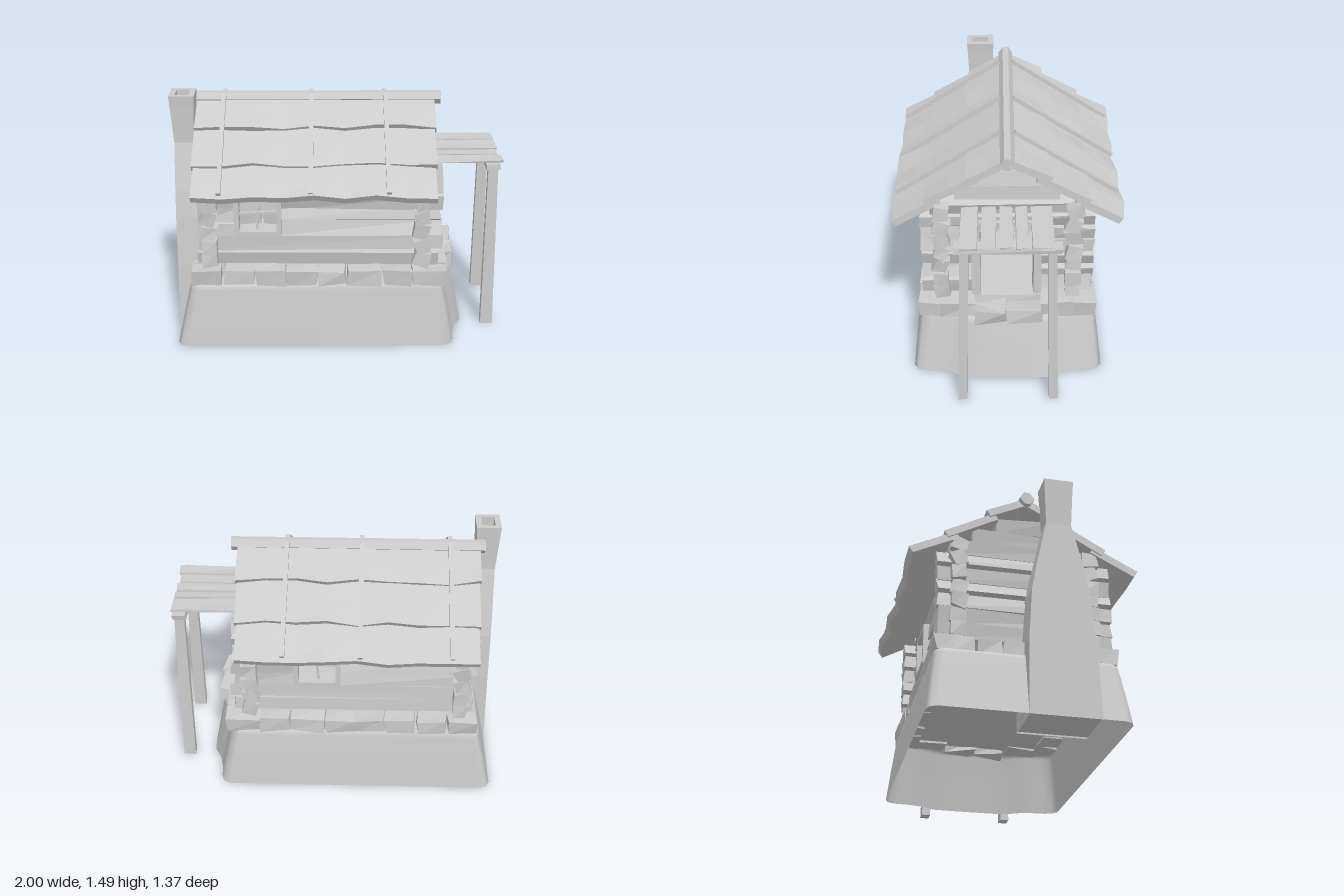
import * as THREE from 'three';

const flat = new THREE.MeshStandardMaterial({ color: 0xcccccc, flatShading: true, side: THREE.DoubleSide });
const smooth = new THREE.MeshStandardMaterial({ color: 0xcccccc, side: THREE.DoubleSide });

// Repeatable pseudo-random value in -1..1
const hash = (n) => {
  const s = Math.sin(n * 127.1 + 11.7) * 43758.5453;
  return (s - Math.floor(s)) * 2 - 1;
};

// Shift corners by a rule so that shared corners stay together
function roughen(geo, amount, seed) {
  const p = geo.attributes.position;
  for (let i = 0; i < p.count; i++) {
    const k = seed + p.getX(i) * 3.1 + p.getY(i) * 17.3 + p.getZ(i) * 7.7;
    p.setXYZ(i, p.getX(i) + hash(k) * amount, p.getY(i) + hash(k + 1.3) * amount, p.getZ(i) + hash(k + 2.6) * amount);
  }
  geo.computeVertexNormals();
  return geo;
}

function add(parent, name, geo, x = 0, y = 0, z = 0, mat = flat) {
  const m = new THREE.Mesh(geo, mat);
  m.name = name;
  m.position.set(x, y, z);
  parent.add(m);
  return m;
}

// Box given by its limits on each axis
function block(parent, name, x0, x1, y0, y1, z0, z1, rough = 0, seed = 1) {
  const g = new THREE.BoxGeometry(x1 - x0, y1 - y0, z1 - z0);
  return add(parent, name, rough ? roughen(g, rough, seed) : g, (x0 + x1) / 2, (y0 + y1) / 2, (z0 + z1) / 2);
}

function group(parent, name) {
  const g = new THREE.Group();
  g.name = name;
  parent.add(g);
  return g;
}

// Skin over rings of [x, y, z] points, with an optional cap on the last ring
function loft(rings, cap) {
  const n = rings[0].length, pos = rings.flat(2), idx = [];
  for (let r = 0; r < rings.length - 1; r++) {
    for (let i = 0; i < n; i++) {
      const a = r * n + i, b = r * n + (i + 1) % n;
      idx.push(a, a + n, b, b, a + n, b + n);
    }
  }
  if (cap) {
    const last = rings[rings.length - 1], base = pos.length / 3;
    pos.push(...last.flat(), -0.08, last[0][1], 0);
    for (let i = 0; i < n; i++) idx.push(base + i, base + n, base + (i + 1) % n);
  }
  const g = new THREE.BufferGeometry();
  g.setAttribute('position', new THREE.Float32BufferAttribute(pos, 3));
  g.setIndex(idx);
  g.computeVertexNormals();
  return g;
}

function addFoundation(root) {
  // Half outline with a bulge for the entrance, mirrored in z
  const half = [[0.78, 0.12], [0.775, 0.24], [0.73, 0.33], [0.71, 0.42], [0.705, 0.5], [0.69, 0.55], [0.65, 0.575],
    [-0.92, 0.575], [-0.96, 0.56], [-0.98, 0.52]];
  const outline = [...half, ...half.map(([x, z]) => [x, -z]).reverse()];
  const levels = [[0, 1, 1], [0.2, 0.95, 0.96], [0.355, 0.91, 0.925], [0.38, 0.9, 0.915], [0.39, 0.88, 0.895]];
  const rings = levels.map(([y, sx, sz]) => outline.map(([x, z]) => [-0.08 + (x + 0.08) * sx, y, z * sz]));
  add(root, 'foundation', loft(rings, true), 0, 0, 0, smooth);
}

function addStones(root) {
  const g = group(root, 'stoneFooting');
  const xs = [-0.875, -0.69, -0.5, -0.31, -0.12, 0.05, 0.27, 0.45, 0.66];
  const zs = [-0.42, -0.28, -0.14, 0, 0.14, 0.28, 0.42];
  for (const s of [-1, 1]) {
    for (let i = 0; i < xs.length - 1; i++) {
      const m = block(g, 'sideStone', xs[i], xs[i + 1] - 0.008, 0.375, 0.475, -0.065, 0.065, 0.012, i * 5 + s);
      m.position.z = s * 0.46;
    }
    block(g, 'entranceStone', 0.53, 0.66, 0.375, 0.475, s * 0.3 - 0.1, s * 0.3 + 0.1, 0.012, s + 40);
    block(g, 'stepStone', 0.59, 0.72, 0.365, 0.45, s * 0.1 - 0.095, s * 0.1 + 0.095, 0.018, s + 50);
  }
  for (let i = 0; i < zs.length - 1; i++) {
    block(g, 'endStone', -0.87, -0.75, 0.375, 0.475, zs[i], zs[i + 1] - 0.008, 0.012, i + 60);
  }
  block(g, 'threshold', 0.47, 0.58, 0.39, 0.475, -0.2, 0.2, 0.008, 70);
}

// Squared log along x or z, rolled a little about its own length
function log(parent, axis, a, b, y, side, seed) {
  const len = b - a, t = 0.088, along = axis === 'x';
  const geo = roughen(new THREE.BoxGeometry(along ? len : t, t, along ? t : len), 0.009, seed);
  const m = add(parent, 'log', geo, along ? (a + b) / 2 : side, y, along ? side : (a + b) / 2);
  m.rotation[axis] = hash(seed * 1.7) * 0.4;
}

const windows = [{ s: 1, x: -0.48 }, { s: -1, x: 0.1 }];

function addWalls(root) {
  const walls = group(root, 'logWalls');
  // Long walls, split around the windows
  for (const { s, x } of windows) {
    for (let i = 0; i < 7; i++) {
      const y = 0.53 + i * 0.09, e = hash(i + s * 9) * 0.015;
      if (i >= 2 && i <= 4) {
        log(walls, 'x', -0.85 + e, x - 0.12, y, s * 0.39, i + s * 20);
        log(walls, 'x', x + 0.12, 0.61 + e, y, s * 0.39, i + s * 30);
      } else log(walls, 'x', -0.85 + e, 0.61 + e, y, s * 0.39, i + s * 20);
    }
  }
  // End walls and gables, split around the doorway
  for (const x of [-0.77, 0.5]) {
    for (let i = 0; i < 9; i++) {
      const y = 0.54 + i * 0.09, h = Math.min(0.51, (1.37 - y) / 0.65), k = i * 3 + x * 50;
      if (x > 0 && i < 5) {
        log(walls, 'z', 0.19, h, y, x, k);
        log(walls, 'z', -h, -0.19, y, x, k + 5);
      } else log(walls, 'z', -h, h, y, x, k);
    }
  }
}

function addOpenings(root) {
  for (const { s, x } of windows) {
    const w = group(root, 'window');
    for (const d of [-1, 1]) {
      block(w, 'frameSide', d * 0.127 - 0.015, d * 0.127 + 0.015, -0.135, 0.135, -0.05, 0.05);
      block(w, 'frameRail', -0.14, 0.14, d * 0.12 - 0.015, d * 0.12 + 0.015, -0.05, 0.05);
    }
    block(w, 'mullion', -0.007, 0.007, -0.12, 0.12, -0.01, 0.01).rotation.z = -0.06;
    block(w, 'glazingBar', -0.12, 0.12, -0.007, 0.007, -0.01, 0.01).rotation.z = 0.05;
    w.position.set(x, 0.815, s * 0.415);
  }
  const door = group(root, 'doorFrame');
  block(door, 'doorPost', 0.45, 0.57, 0.46, 0.95, 0.16, 0.215, 0.004, 3);
  block(door, 'doorPost', 0.45, 0.57, 0.46, 0.95, -0.205, -0.155, 0.004, 4);
  block(door, 'lintel', 0.45, 0.58, 0.93, 0.99, -0.215, 0.225, 0.005, 5);
}

function addChimney(root) {
  const ring = ([y, x0, x1, z0, z1]) => [[x0, y, z0], [x0, y, z1], [x1, y, z1], [x1, y, z0]].reverse();
  const levels = [[0, -0.985, -0.68, -0.025, 0.385], [0.45, -0.98, -0.69, -0.02, 0.37], [0.76, -0.98, -0.74, 0, 0.34],
    [0.92, -0.98, -0.83, 0.03, 0.31], [1.2, -0.98, -0.86, 0.09, 0.24], [1.42, -0.995, -0.855, 0.082, 0.25],
    [1.49, -1, -0.85, 0.08, 0.255], [1.49, -0.965, -0.885, 0.115, 0.22], [1.33, -0.965, -0.885, 0.115, 0.22]];
  const g = group(root, 'chimney');
  add(g, 'chimneyStack', loft(levels.map(ring), false));
  block(g, 'flueFloor', -0.965, -0.885, 1.325, 1.33, 0.115, 0.22);
  block(g, 'chimneyFoot', -0.975, -0.7, 0.002, 0.01, -0.02, 0.38);
  // Hearth surround inside the room
  const s = new THREE.Shape([[-0.2, 0], [0.2, 0], [0.16, 0.29], [-0.16, 0.29]].map((p) => new THREE.Vector2(...p)));
  s.holes.push(new THREE.Path([[-0.1, 0.08], [-0.09, 0.19], [0.09, 0.19], [0.1, 0.08]].map((p) => new THREE.Vector2(...p))));
  const hearth = add(g, 'hearth', new THREE.ExtrudeGeometry(s, { depth: 0.06, bevelEnabled: false }), -0.7, 0.47, 0.175);
  hearth.rotation.y = Math.PI / 2;
}

function addRoof(root) {
  const roof = group(root, 'roof');
  const courses = [[0, 0.26, 1.46], [0.21, 0.535, 1.44], [0.48, 0.775, 1.42]];
  for (const side of [1, -1]) {
    const turn = group(roof, 'roofSide');
    turn.rotation.y = side > 0 ? 0 : Math.PI;
    const slope = group(turn, 'roofSlope');
    slope.position.set(-0.14 * side, 1.395, 0);
    slope.rotation.x = 0.576;
    courses.forEach(([s0, s1, len], c) => {
      // Wavy slab, its lower edge lifted over the next course
      const g = new THREE.BoxGeometry(len, 0.045, s1 - s0, 8, 1, 2), p = g.attributes.position;
      for (let i = 0; i < p.count; i++) {
        const t = p.getZ(i) / (s1 - s0) + 0.5;
        const k = Math.round(p.getX(i) / len * 8) + c * 13 + side * 31;
        p.setY(i, p.getY(i) + t * (0.028 + hash(k) * 0.014));
        p.setZ(i, p.getZ(i) + t * hash(k + 0.5) * 0.015);
      }
      g.computeVertexNormals();
      add(slope, 'shingleCourse', g, 0, 0, (s0 + s1) / 2);
    });
    for (const x of [-0.69, -0.16, 0.29]) {
      add(slope, 'batten', new THREE.BoxGeometry(0.027, 0.025, 0.74), side * (x + 0.14), 0.058, 0.385);
    }
  }
  // Faceted ridge beam
  const ridge = add(roof, 'ridgeBeam', roughen(new THREE.CylinderGeometry(0.042, 0.042, 1.53, 6), 0.004, 8), -0.135, 1.405, 0);
  ridge.rotation.z = Math.PI / 2;
}

function addPorch(root) {
  const porch = group(root, 'porch');
  for (const s of [-1, 1]) {
    // Tapered post leaning slightly inward
    const g = new THREE.BoxGeometry(0.075, 1.04, 0.055), p = g.attributes.position;
    for (let i = 0; i < p.count; i++) {
      if (p.getY(i) > 0) p.setXYZ(i, p.getX(i) * 0.8, p.getY(i), p.getZ(i) * 0.9 - s * 0.025);
    }
    g.computeVertexNormals();
    add(porch, 'porchPost', g, 0.938, 0.52, s * 0.27);
  }
  block(porch, 'porchBeam', 0.895, 0.975, 1.035, 1.072, -0.3, 0.3, 0.004, 2);
  const planks = [[-0.255, -0.135], [-0.115, -0.045], [-0.03, 0.045], [0.065, 0.15], [0.17, 0.27]];
  planks.forEach(([z0, z1], i) => {
    block(porch, 'porchPlank', 0.53, 0.985 + hash(i) * 0.01, 1.072, 1.085, z0, z1, 0.004, i + 9);
  });
}

export function createModel() {
  const root = new THREE.Group();
  root.name = 'logCabin';
  [addFoundation, addStones, addWalls, addOpenings, addChimney, addRoof, addPorch].forEach((build) => build(root));
  return root;
}
